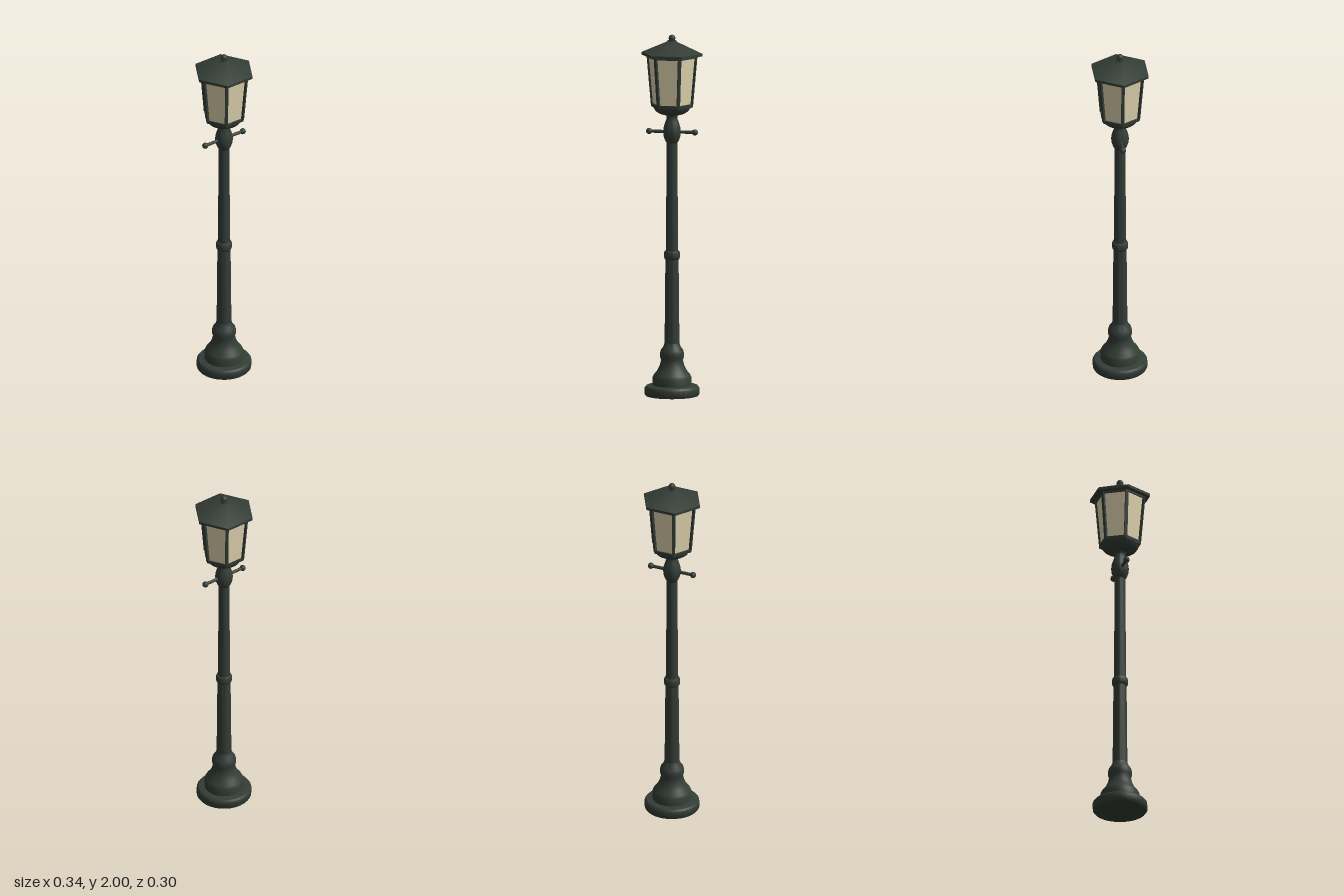
import * as THREE from 'three';
import { toCreasedNormals } from 'three/addons/utils/BufferGeometryUtils.js';

export function createModel() {
  const model = new THREE.Group();
  model.name = 'streetLamp';
  const iron = new THREE.MeshStandardMaterial({ color: 0x343d36 });
  iron.name = 'darkGreenIron';
  const pane = new THREE.MeshStandardMaterial({ color: 0xe0d4b0 });
  pane.name = 'creamGlass';

  const add = (name, geometry, material = iron, parent = model) => {
    const mesh = new THREE.Mesh(geometry, material);
    mesh.name = name;
    parent.add(mesh);
    return mesh;
  };
  const lathe = (points) => toCreasedNormals(
    new THREE.LatheGeometry(points.map(([r, y]) => new THREE.Vector2(r, y)), 32), 0.7);
  // Six-sided frustum with corners on the x axis
  const hex = (top, bottom, y0, y1, crease = 0.5) => {
    const g = new THREE.CylinderGeometry(top, bottom, y1 - y0, 6);
    g.rotateY(Math.PI / 2).translate(0, (y0 + y1) / 2, 0);
    return toCreasedNormals(g, crease);
  };

  // Stepped foot, flared up to a collar
  add('base', lathe([
    [0, 0], [0.145, 0], [0.15, 0.007], [0.15, 0.043], [0.141, 0.054], [0.107, 0.058],
    [0.107, 0.1], [0.1, 0.115], [0.082, 0.137], [0.068, 0.165], [0.06, 0.197],
    [0.065, 0.212], [0.066, 0.235], [0.061, 0.253], [0.048, 0.27], [0.041, 0.29], [0, 0.29],
  ]));

  // Tapered shaft with a ring halfway up
  add('lowerShaft', lathe([[0.041, 0.27], [0.036, 0.78]]));
  add('upperShaft', lathe([[0.034, 0.78], [0.029, 1.43]]));
  add('shaftRing', lathe([
    [0.035, 0.753], [0.04, 0.757], [0.044, 0.767], [0.044, 0.79], [0.04, 0.801], [0.033, 0.804],
  ]));

  // Bulb and neck below the lantern
  add('neck', lathe([
    [0.029, 1.4], [0.037, 1.412], [0.046, 1.437], [0.049, 1.462], [0.045, 1.49],
    [0.036, 1.518], [0.03, 1.535], [0.03, 1.55], [0.042, 1.568],
  ]));

  // Ladder rest with ball ends
  const rest = new THREE.Group();
  rest.name = 'ladderRest';
  rest.position.y = 1.462;
  model.add(rest);
  add('crossbar', new THREE.CylinderGeometry(0.009, 0.009, 0.256, 12).rotateZ(Math.PI / 2), iron, rest);
  for (const side of [-1, 1]) {
    add(side > 0 ? 'leftBall' : 'rightBall', new THREE.SphereGeometry(0.017, 16, 12), iron, rest)
      .position.x = side * 0.128;
  }

  // Lantern: bowl, tray and glass
  add('lanternBowl', lathe([
    [0, 1.557], [0.045, 1.557], [0.068, 1.564], [0.088, 1.576], [0.1, 1.592], [0.104, 1.605], [0, 1.605],
  ]));
  add('lanternTray', hex(0.119, 0.117, 1.6, 1.619));
  add('glass', hex(0.134, 0.11, 1.615, 1.885), pane);
  add('topRail', hex(0.141, 0.14, 1.874, 1.89));

  // Corner bars leaning outward
  for (let i = 0; i < 6; i++) {
    const corner = new THREE.Group();
    corner.name = 'cornerBar' + (i + 1);
    corner.rotation.y = i * Math.PI / 3;
    model.add(corner);
    const bar = add('bar', new THREE.BoxGeometry(0.014, 0.275, 0.017), iron, corner);
    bar.position.set(0.122, 1.748, 0);
    bar.rotation.z = -Math.atan2(0.024, 0.27);
  }

  // Roof with a thin eave, and the finial
  add('eave', hex(0.17, 0.17, 1.885, 1.9));
  add('roof', hex(0.026, 0.17, 1.9, 1.963, 1));
  add('finialBase', hex(0.024, 0.026, 1.96, 1.97));
  add('finialBall', new THREE.SphereGeometry(0.0185, 20, 14)).position.y = 1.9815;

  return model;
}
